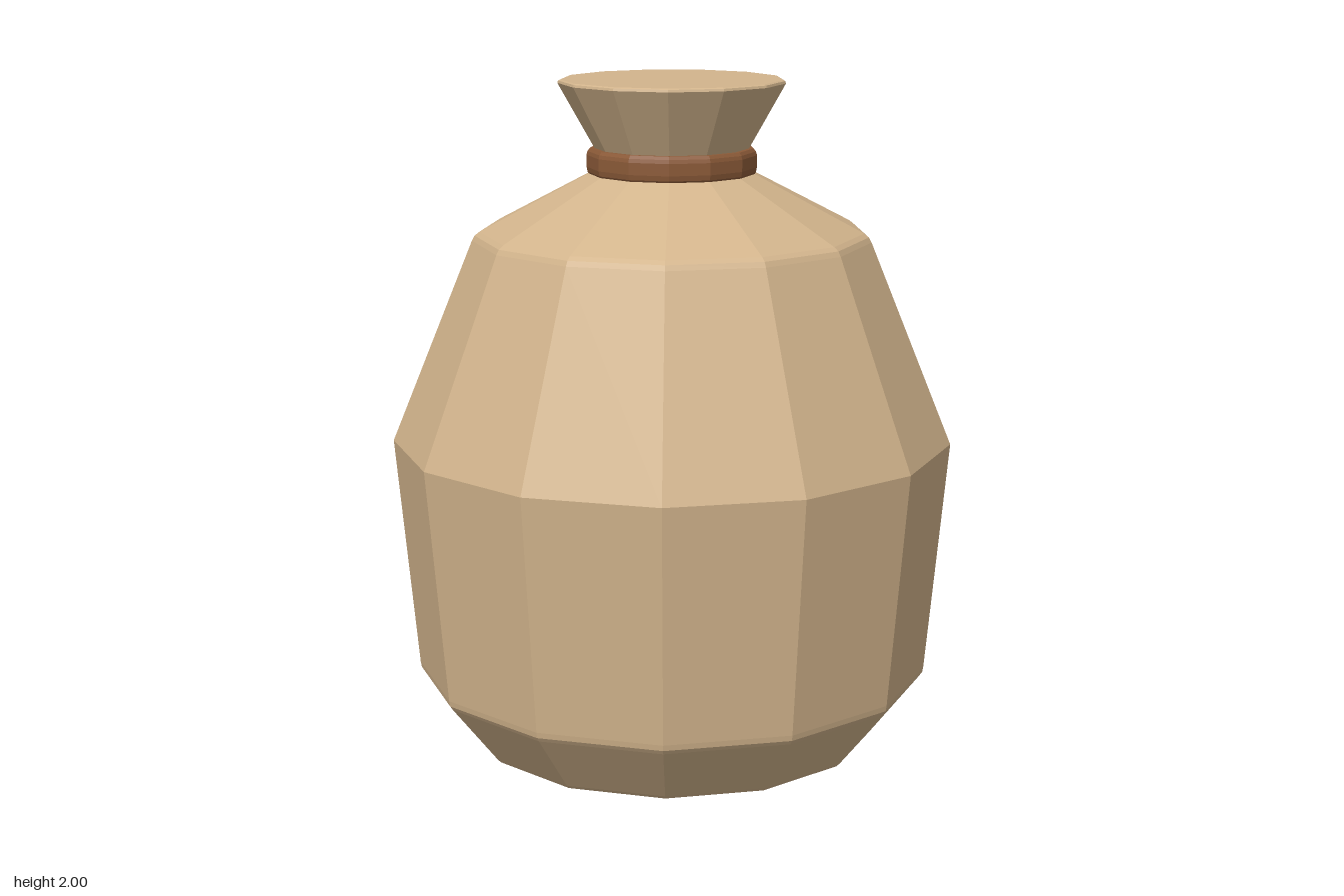
import * as THREE from 'three';

const SIDES = 13;

// Turned faceted solid with one corner pointing to +x
function turned(name, profile, material) {
  const points = profile.map(([r, y]) => new THREE.Vector2(r, y));
  const mesh = new THREE.Mesh(new THREE.LatheGeometry(points, SIDES, Math.PI / 2), material);
  mesh.name = name;
  return mesh;
}

export function createModel() {
  const cloth = new THREE.MeshStandardMaterial({ color: 0xd2b48c, flatShading: true });
  cloth.name = 'tan cloth';
  const cord = new THREE.MeshStandardMaterial({ color: 0x8b5a38, flatShading: true });
  cord.name = 'brown cord';

  const model = new THREE.Group();
  model.name = 'sack';

  // Body: flat base, bevelled lower edge, belly, bevelled shoulder
  model.add(turned('sackBody', [
    [0, 0], [0.59, 0], [0.606, 0.004], [0.617, 0.015],
    [0.762, 0.2], [0.771, 0.213], [0.774, 0.23],
    [0.837, 0.93],
    [0.592, 1.53], [0.584, 1.545], [0.57, 1.556],
    [0.236, 1.73], [0, 1.73],
  ], cloth));

  // Gathered mouth flaring above the tie
  model.add(turned('sackMouth', [
    [0, 1.72], [0.19, 1.72], [0.223, 1.79], [0.335, 1.99], [0.333, 1.997], [0.327, 2], [0, 2],
  ], cloth));

  // Tie around the neck with softened edges
  model.add(turned('neckTie', [
    [0.2, 1.72], [0.242, 1.72], [0.249, 1.73],
    [0.252, 1.745], [0.252, 1.78], [0.249, 1.791], [0.242, 1.8], [0.2, 1.8],
  ], cord));

  // Centre the odd-sided outline
  model.children.forEach((part) => { part.position.x = -0.012; });
  return model;
}
